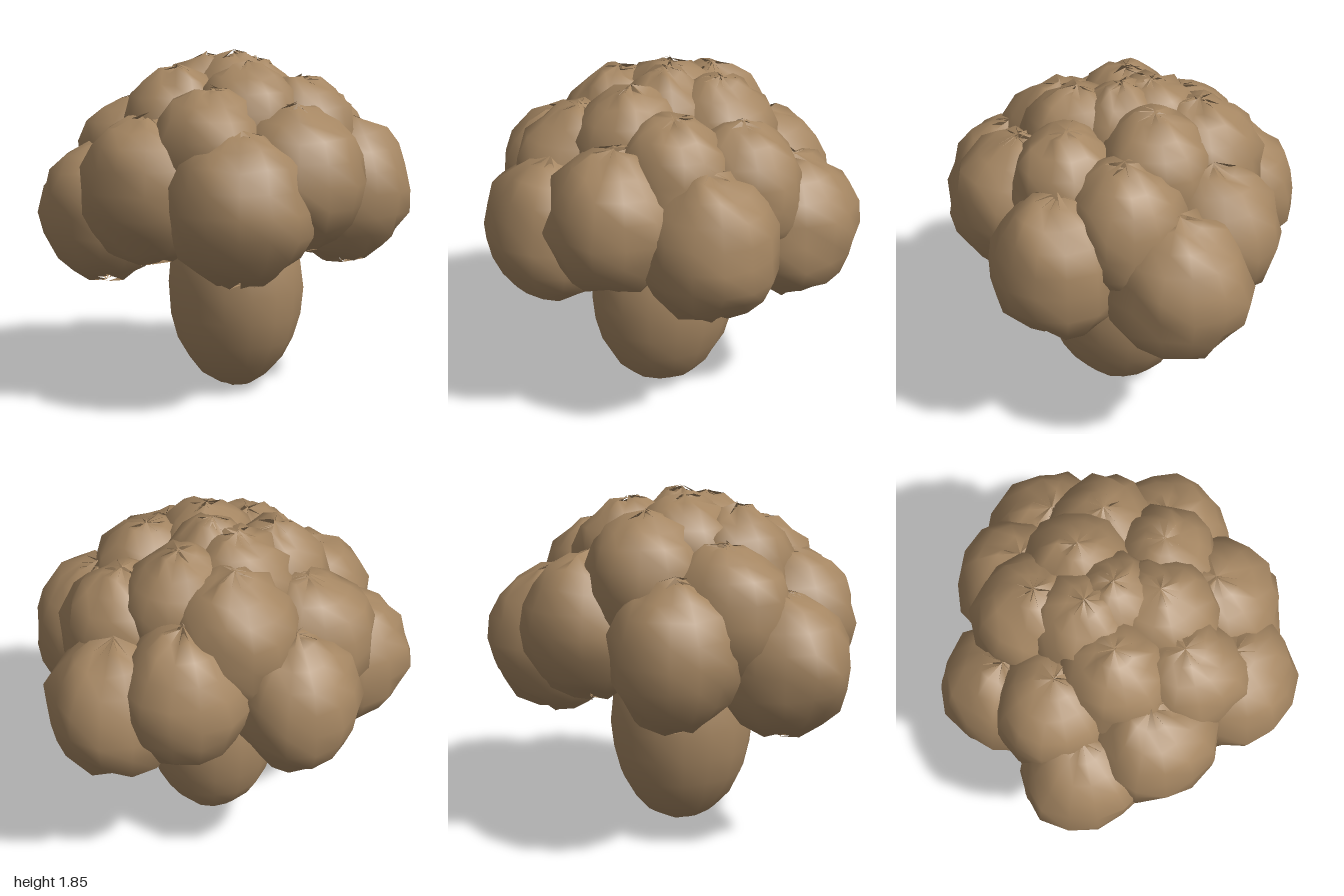
import * as THREE from 'three';

// small seeded generator for the irregular surface
function seeded(seed) {
  let s = seed * 7919 + 17;
  return () => {
    s = (s * 16807) % 2147483647;
    return s / 2147483647;
  };
}

// ellipsoid whose vertices are pushed in and out by a seeded amount
function lumpyBall(seed, cols, rows, [rx, ry, rz], rough) {
  const geo = new THREE.SphereGeometry(1, cols, rows);
  const pos = geo.attributes.position;
  const nor = geo.attributes.normal;
  const rand = seeded(seed);
  const v = new THREE.Vector3();
  for (let j = 0; j <= rows; j++) {
    let first = 1;
    for (let i = 0; i <= cols; i++) {
      const k = j * (cols + 1) + i;
      let f = 1 + (rand() - 0.5) * rough;
      if (i === 0) first = f;
      if (i === cols) f = first; // close the seam
      v.fromBufferAttribute(pos, k).multiplyScalar(f);
      pos.setXYZ(k, v.x * rx, v.y * ry, v.z * rz);
    }
  }
  geo.computeVertexNormals();
  // match the normals on both sides of the seam
  for (let j = 1; j < rows; j++) {
    const a = j * (cols + 1), b = a + cols;
    v.fromBufferAttribute(nor, a).add(new THREE.Vector3().fromBufferAttribute(nor, b)).normalize();
    nor.setXYZ(a, v.x, v.y, v.z);
    nor.setXYZ(b, v.x, v.y, v.z);
  }
  return geo;
}

// centre x, y, z and radii x, y, z of every floret, by ring
const RINGS = {
  outerFloret: [
    [-0.05, 1.08, 0.58, 0.37, 0.38, 0.35],
    [0.28, 1.2, 0.42, 0.36, 0.38, 0.37],
    [0.63, 1.11, 0.1, 0.37, 0.39, 0.36],
    [0.56, 1.04, -0.5, 0.36, 0.39, 0.37],
    [0.22, 1.16, -0.58, 0.34, 0.38, 0.36],
    [-0.34, 1.08, -0.55, 0.33, 0.38, 0.36],
    [-0.64, 1.0, -0.08, 0.36, 0.37, 0.34],
    [-0.45, 1.15, 0.23, 0.36, 0.38, 0.35],
  ],
  middleFloret: [
    [-0.16, 1.3, 0.34, 0.31, 0.37, 0.34],
    [0.38, 1.34, 0.13, 0.31, 0.37, 0.31],
    [0.51, 1.28, -0.21, 0.33, 0.37, 0.31],
    [-0.04, 1.38, -0.44, 0.32, 0.37, 0.34],
    [-0.42, 1.24, -0.26, 0.36, 0.37, 0.33],
    [-0.27, 1.4, 0.01, 0.3, 0.36, 0.31],
  ],
  crownFloret: [
    [0.07, 1.43, 0.17, 0.29, 0.36, 0.32],
    [0.23, 1.43, -0.28, 0.29, 0.36, 0.31],
    [-0.07, 1.46, -0.18, 0.31, 0.36, 0.29],
    [0.05, 1.48, -0.06, 0.27, 0.35, 0.27],
  ],
};

export function createModel() {
  const group = new THREE.Group();
  const brown = new THREE.MeshStandardMaterial({ color: 0xa58662 });
  brown.name = 'brown';
  brown.side = THREE.DoubleSide;

  // thick rounded stem
  const stem = new THREE.Mesh(lumpyBall(3, 16, 12, [0.37, 0.56, 0.41], 0.02), brown);
  stem.name = 'stem';
  stem.position.set(0.06, 0.57, -0.05);
  group.add(stem);

  // overlapping florets of the head
  let seed = 11;
  for (const [name, list] of Object.entries(RINGS)) {
    for (const [x, y, z, ...radii] of list) {
      const floret = new THREE.Mesh(lumpyBall(seed, 14, 10, radii, 0.13), brown);
      floret.name = name;
      floret.position.set(x, y, z);
      group.add(floret);
      seed += 5;
    }
  }
  return group;
}
